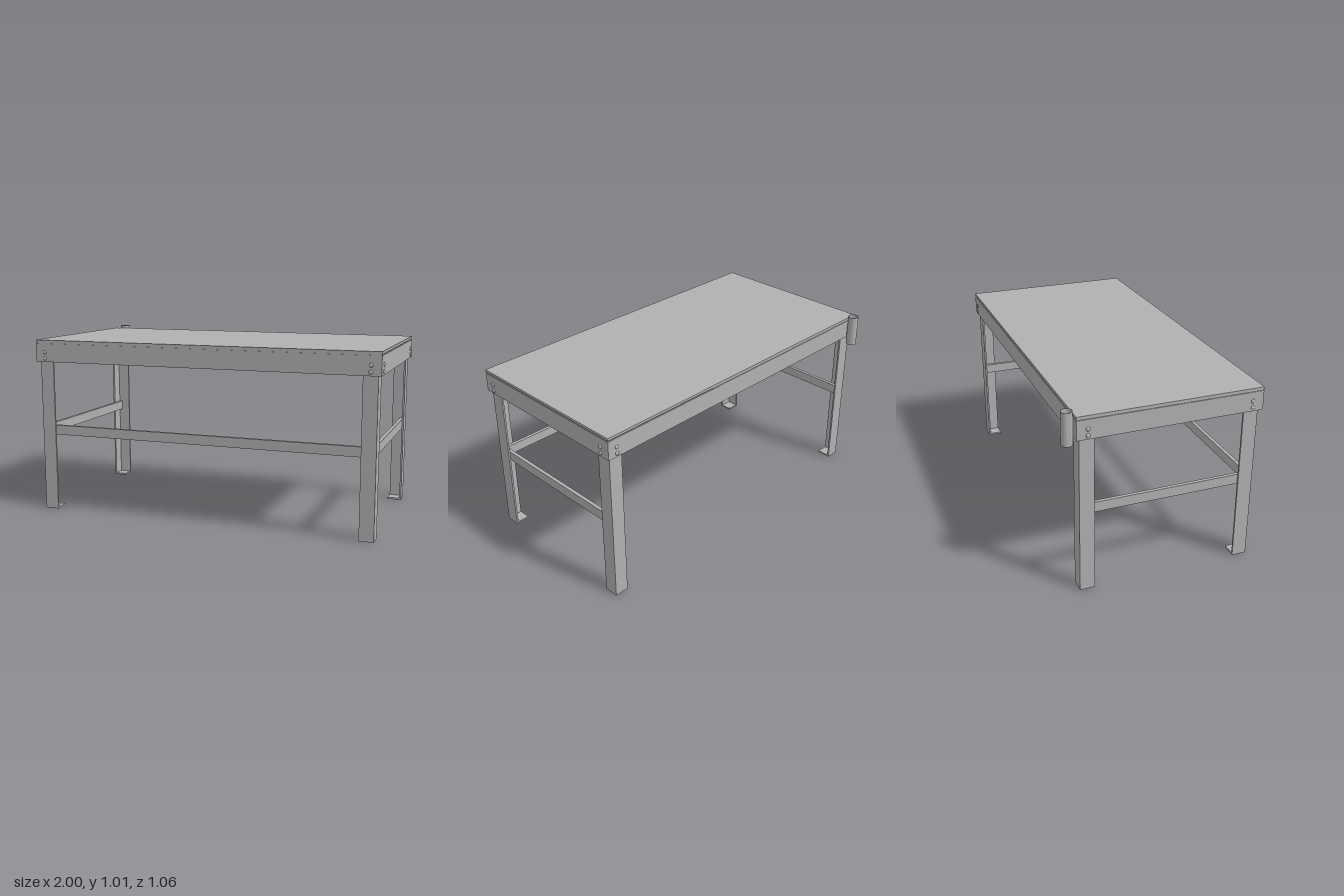
import * as THREE from 'three';
import { toCreasedNormals } from 'three/addons/utils/BufferGeometryUtils.js';

export function createModel() {
  const table = new THREE.Group();
  table.name = 'workTable';
  const steel = new THREE.MeshStandardMaterial({ color: 0xb0b0b0 });
  steel.name = 'grey steel';

  const add = (name, geometry, parent = table) => {
    const mesh = new THREE.Mesh(geometry, steel);
    mesh.name = name;
    parent.add(mesh);
    return mesh;
  };
  // Box given by its lower and upper corners
  const box = (name, x0, y0, z0, x1, y1, z1, parent) => {
    const mesh = add(name, new THREE.BoxGeometry(x1 - x0, y1 - y0, z1 - z0), parent);
    mesh.position.set((x0 + x1) / 2, (y0 + y1) / 2, (z0 + z1) / 2);
    return mesh;
  };

  const X = 0.993, ZF = 0.525, ZB = -0.47, T = 0.018; // outer frame and apron thickness
  const LEG = 0.08, WALL = 0.01;
  const LX = X - T, LF = ZF - T, LB = ZB + T; // outer faces of the legs

  // Table top with a narrow seam above the aprons and a filled underside
  box('tableTop', -X, 0.981, ZB, X, 0.995, ZF);
  box('topSeam', -X + 0.004, 0.975, ZB + 0.004, X - 0.004, 0.981, ZF - 0.004);
  box('topUnderside', -LX, 0.957, LB, LX, 0.975, LF);

  // Aprons
  box('frontApron', -X, 0.87, LF, X, 0.975, ZF);
  box('backApron', -X, 0.87, ZB, X, 0.975, LB);
  for (const s of [-1, 1]) {
    const side = box('sideApron', -T / 2, 0.87, LB, T / 2, 0.975, LF);
    side.position.x = s * (X - T / 2);
  }

  // Domed bolt head, turned so that it points along the given axis
  const domeGeometry = new THREE.SphereGeometry(0.0115, 16, 6, 0, Math.PI * 2, 0, Math.PI / 2);
  domeGeometry.scale(1, 0.6, 1);
  const bolt = (name, x, y, z, dx, dz, parent) => {
    const mesh = add(name, domeGeometry, parent);
    mesh.position.set(x, y, z);
    mesh.quaternion.setFromUnitVectors(new THREE.Vector3(0, 1, 0), new THREE.Vector3(dx, 0, dz));
  };

  // Angle-iron legs: L section opening inwards, foot plate and bolts
  const legShape = (sx, sz) => {
    const pts = [[0, 0], [LEG, 0], [LEG, WALL], [WALL, WALL], [WALL, LEG], [0, LEG]];
    return new THREE.Shape(pts.map(([a, b]) => new THREE.Vector2(-sx * a, sz * b)));
  };
  for (const sx of [-1, 1]) {
    for (const sz of [-1, 1]) {
      const corner = new THREE.Group();
      corner.name = (sz > 0 ? 'front' : 'back') + (sx > 0 ? 'Left' : 'Right') + 'Leg';
      table.add(corner);
      const x = sx * LX, z = sz > 0 ? LF : LB;
      const geometry = new THREE.ExtrudeGeometry(legShape(sx, sz), { depth: 0.957, bevelEnabled: false });
      geometry.rotateX(-Math.PI / 2);
      add('legAngle', geometry, corner).position.set(x, 0, z);
      const foot = add('footPlate', new THREE.BoxGeometry(LEG, 0.01, LEG), corner);
      foot.position.set(x - sx * LEG / 2, 0.005, z - sz * LEG / 2);

      const bx = x - sx * 0.037, bz = z - sz * 0.04;
      for (const y of [0.89, 0.925]) {
        bolt('bolt', bx, y, sz > 0 ? ZF : ZB, 0, sz, corner);
        bolt('bolt', sx * X, y, bz, sx, 0, corner);
        bolt('nut', bx, y, z - sz * WALL, 0, -sz, corner);
        bolt('nut', x - sx * WALL, y, bz, -sx, 0, corner);
      }
    }
  }

  // Lower stretchers at the front and both ends, set inside the legs
  const SX = LX - WALL, S = 0.02;
  box('frontStretcher', -SX, 0.445, LF - WALL - S, SX, 0.5, LF - WALL);
  for (const s of [-1, 1]) {
    const bar = box('sideStretcher', -S / 2, 0.445, LB + WALL, S / 2, 0.5, LF - WALL - S);
    bar.position.x = s * (SX - S / 2);
  }

  // Open pipe holder at the back corner
  const ring = new THREE.Shape().absarc(0, 0, 0.03, 0, Math.PI * 2);
  ring.holes.push(new THREE.Path().absarc(0, 0, 0.027, 0, Math.PI * 2, true));
  const pipe = new THREE.ExtrudeGeometry(ring, { depth: 0.177, bevelEnabled: false, curveSegments: 32 });
  pipe.rotateX(-Math.PI / 2);
  add('pipeHolder', toCreasedNormals(pipe, 0.6)).position.set(-0.94, 0.833, -0.5);

  return table;
}
